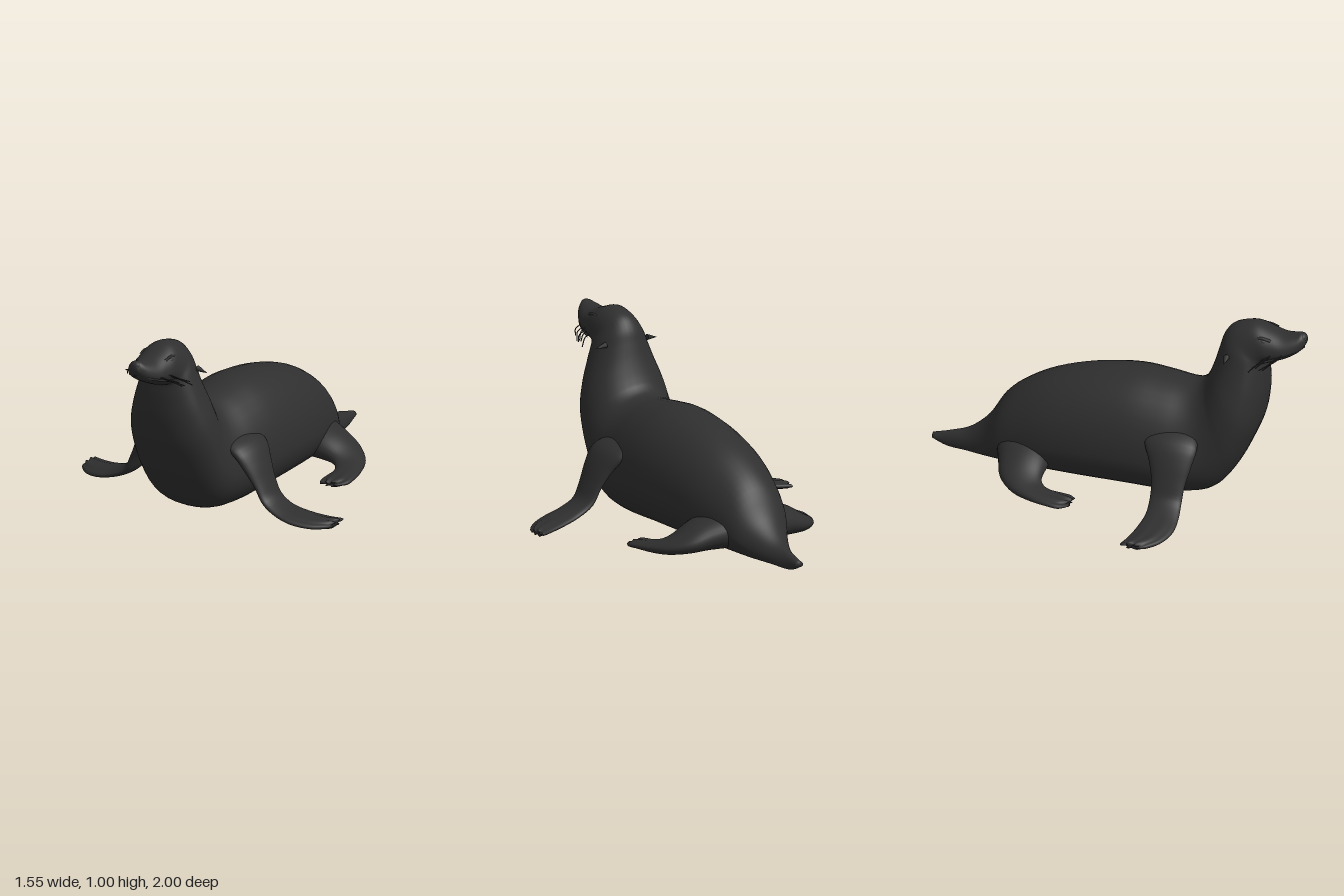
import * as THREE from 'three';

const hide = new THREE.MeshStandardMaterial({ color: 0x2f2f2f });
hide.name = 'darkHide';
const V = (x, y, z) => new THREE.Vector3(x, y, z);

// Catmull-Rom interpolation of rows of numbers
function smooth(rows, steps) {
  const out = [];
  const at = (i) => rows[Math.max(0, Math.min(rows.length - 1, i))];
  for (let i = 0; i < rows.length - 1; i++) {
    for (let s = 0; s < steps; s++) {
      const t = s / steps;
      out.push(at(i).map((b, k) => {
        const a = at(i - 1)[k], c = at(i + 1)[k], d = at(i + 2)[k];
        return b + 0.5 * t * (c - a + t * (2 * a - 5 * b + 4 * c - d + t * (3 * (b - c) + d - a)));
      }));
    }
  }
  out.push(rows[rows.length - 1]);
  return out;
}

// Closed skin over a row of rings, capped at both ends
function loft(rings) {
  const n = rings[0].length, m = rings.length, pos = [], idx = [];
  rings.forEach((r) => r.forEach((p) => pos.push(p.x, p.y, p.z)));
  for (let i = 0; i < m - 1; i++) {
    for (let j = 0; j < n; j++) {
      const a = i * n + j, b = i * n + (j + 1) % n;
      idx.push(a, b, a + n, b, b + n, a + n);
    }
  }
  [0, m - 1].forEach((i, end) => {
    const c = rings[i].reduce((s, p) => s.add(p), V(0, 0, 0)).divideScalar(n);
    const k = pos.length / 3;
    pos.push(c.x, c.y, c.z);
    for (let j = 0; j < n; j++) {
      const a = i * n + j, b = i * n + (j + 1) % n;
      if (end) idx.push(a, b, k); else idx.push(b, a, k);
    }
  });
  const g = new THREE.BufferGeometry();
  g.setAttribute('position', new THREE.Float32BufferAttribute(pos, 3));
  g.setIndex(idx);
  g.computeVertexNormals();
  return g;
}

// Rows: back z, back y, belly z, belly y, half width
const BODY = [
  [-1.0, 0.072, -1.0, 0.045, 0.02], [-0.9, 0.1, -0.92, 0.012, 0.035],
  [-0.8, 0.135, -0.8, 0.012, 0.075], [-0.7, 0.225, -0.7, 0.012, 0.125],
  [-0.61, 0.37, -0.62, 0.013, 0.175], [-0.5, 0.465, -0.5, 0.015, 0.215],
  [-0.35, 0.545, -0.35, 0.015, 0.255], [-0.15, 0.605, -0.15, 0.015, 0.285],
  [0.08, 0.635, 0.08, 0.015, 0.302], [0.25, 0.62, 0.28, 0.01, 0.3],
  [0.36, 0.606, 0.45, 0.02, 0.28], [0.42, 0.612, 0.56, 0.07, 0.265],
  [0.46, 0.64, 0.65, 0.19, 0.255], [0.48, 0.675, 0.71, 0.31, 0.25],
  [0.5, 0.725, 0.765, 0.45, 0.235], [0.52, 0.785, 0.79, 0.6, 0.2],
  [0.54, 0.855, 0.79, 0.72, 0.165], [0.56, 0.92, 0.785, 0.795, 0.14],
  [0.6, 0.975, 0.8, 0.802, 0.122], [0.66, 1.003, 0.82, 0.808, 0.115],
  [0.73, 1.013, 0.84, 0.814, 0.112], [0.8, 0.99, 0.87, 0.828, 0.104],
  [0.87, 0.968, 0.91, 0.848, 0.092], [0.94, 0.975, 0.955, 0.875, 0.068],
  [0.975, 0.982, 0.98, 0.9, 0.045], [1.0, 0.955, 0.995, 0.925, 0.022],
];

// The widest line sits below the middle, so the belly spreads on the ground
function bodyRings() {
  return smooth(BODY, 4).map(([tz, ty, bz, by, w]) => {
    const top = V(0, ty, tz), low = V(0, by, bz), ring = [];
    for (let j = 0; j < 40; j++) {
      const a = j / 40 * Math.PI * 2, s = Math.sin(a), c = Math.cos(a);
      const h = s > 0 ? 0.38 + 0.62 * s : 0.38 + 0.38 * s;
      const p = low.clone().lerp(top, h);
      p.x = w * Math.sign(c) * Math.pow(Math.abs(c), s < 0 ? 0.82 : 1);
      ring.push(p);
    }
    return ring;
  });
}

// Rows: one edge xyz, other edge xyz, half thickness; toes swell towards the tip
function flipper(rows, side) {
  const rs = smooth(rows, 4);
  const mid = (r) => V(side * (r[0] + r[3]) / 2, (r[1] + r[4]) / 2, (r[2] + r[5]) / 2);
  return loft(rs.map((r, i) => {
    const c = mid(r);
    const t = mid(rs[Math.min(i + 1, rs.length - 1)]).sub(mid(rs[Math.max(i - 1, 0)])).normalize();
    const w = V(side * (r[3] - r[0]) / 2, (r[4] - r[1]) / 2, (r[5] - r[2]) / 2);
    const n = t.clone().cross(w).normalize().multiplyScalar(r[6]);
    const toe = Math.max(0, (i / (rs.length - 1) - 0.55) / 0.45);
    const ring = [];
    for (let j = 0; j < 32; j++) {
      const a = j / 32 * Math.PI * 2, u = Math.cos(a), lobe = Math.cos(u * Math.PI * 3);
      ring.push(c.clone().addScaledVector(w, u)
        .addScaledVector(n, Math.sin(a) * (1 - 0.25 * toe * lobe))
        .addScaledVector(t, -0.012 * toe * toe * lobe));
    }
    return ring;
  }));
}

const FRONT = [
  [0.2, 0.4, 0.2, 0.2, 0.4, 0.47, 0.04], [0.28, 0.365, 0.21, 0.28, 0.365, 0.49, 0.045],
  [0.335, 0.29, 0.25, 0.335, 0.29, 0.475, 0.04], [0.38, 0.205, 0.275, 0.385, 0.2, 0.455, 0.03],
  [0.425, 0.125, 0.28, 0.43, 0.12, 0.45, 0.027], [0.51, 0.075, 0.28, 0.51, 0.075, 0.457, 0.025],
  [0.62, 0.05, 0.26, 0.6, 0.05, 0.455, 0.024], [0.71, 0.04, 0.238, 0.69, 0.036, 0.42, 0.022],
  [0.76, 0.038, 0.225, 0.75, 0.032, 0.365, 0.019], [0.765, 0.037, 0.23, 0.77, 0.031, 0.33, 0.01],
];
const HIND = [
  [0.14, 0.14, -0.31, 0.14, 0.14, -0.62, 0.1], [0.25, 0.12, -0.32, 0.25, 0.12, -0.58, 0.08],
  [0.33, 0.09, -0.325, 0.36, 0.09, -0.54, 0.055], [0.365, 0.065, -0.3, 0.45, 0.07, -0.455, 0.04],
  [0.378, 0.052, -0.26, 0.5, 0.06, -0.34, 0.03], [0.372, 0.045, -0.21, 0.522, 0.055, -0.25, 0.024],
  [0.372, 0.04, -0.165, 0.522, 0.048, -0.19, 0.02], [0.39, 0.038, -0.142, 0.485, 0.043, -0.148, 0.01],
];

export function createModel() {
  const model = new THREE.Group();
  model.name = 'seaLion';
  const add = (name, geo, parent = model) => {
    const mesh = new THREE.Mesh(geo, hide);
    mesh.name = name;
    parent.add(mesh);
    return mesh;
  };
  const tube = (name, pts, r) =>
    add(name, new THREE.TubeGeometry(new THREE.CatmullRomCurve3(pts), 10, r, 5, false));

  add('body', loft(bodyRings()));

  for (const side of [1, -1]) {
    const tag = side > 0 ? 'left' : 'right';
    add(tag + 'FrontFlipper', flipper(FRONT, side));
    add(tag + 'HindFlipper', flipper(HIND, side));

    // Eye under a heavy brow
    const eye = add(tag + 'Eye', new THREE.SphereGeometry(0.02, 16, 10));
    eye.position.set(side * 0.083, 0.944, 0.78);
    eye.scale.set(0.7, 0.75, 1.3);
    tube(tag + 'Brow', [V(side * 0.088, 0.953, 0.735), V(side * 0.082, 0.964, 0.775),
      V(side * 0.078, 0.952, 0.825)], 0.008);

    // Small rolled ear
    const ear = add(tag + 'Ear', new THREE.ConeGeometry(0.016, 0.065, 10));
    ear.position.set(side * 0.158, 0.845, 0.605);
    ear.rotation.set(-0.3, 0, side * -1.75);

    // Mouth corner line
    tube(tag + 'MouthLine', [V(0, 0.905, 0.982), V(side * 0.055, 0.893, 0.95),
      V(side * 0.088, 0.868, 0.885), V(side * 0.105, 0.84, 0.8)], 0.007);

    // Whiskers sweeping out and back
    for (let i = 0; i < 6; i++) {
      const z = 0.89 - i * 0.018, y = 0.885 - (i % 3) * 0.012;
      tube(tag + 'Whisker', [V(side * 0.085, y, z), V(side * 0.135, y - 0.012, z - 0.02),
        V(side * (0.165 + i * 0.004), y - 0.035 - (i % 2) * 0.012, z - 0.065)], 0.003);
    }

    // Nostril
    const nostril = add(tag + 'Nostril', new THREE.SphereGeometry(0.008, 8, 6));
    nostril.position.set(side * 0.014, 0.955, 0.99);
  }

  // Nose pad
  const nose = add('nose', new THREE.SphereGeometry(0.03, 16, 12));
  nose.position.set(0, 0.957, 0.977);
  nose.scale.set(1, 0.85, 0.75);
  return model;
}
